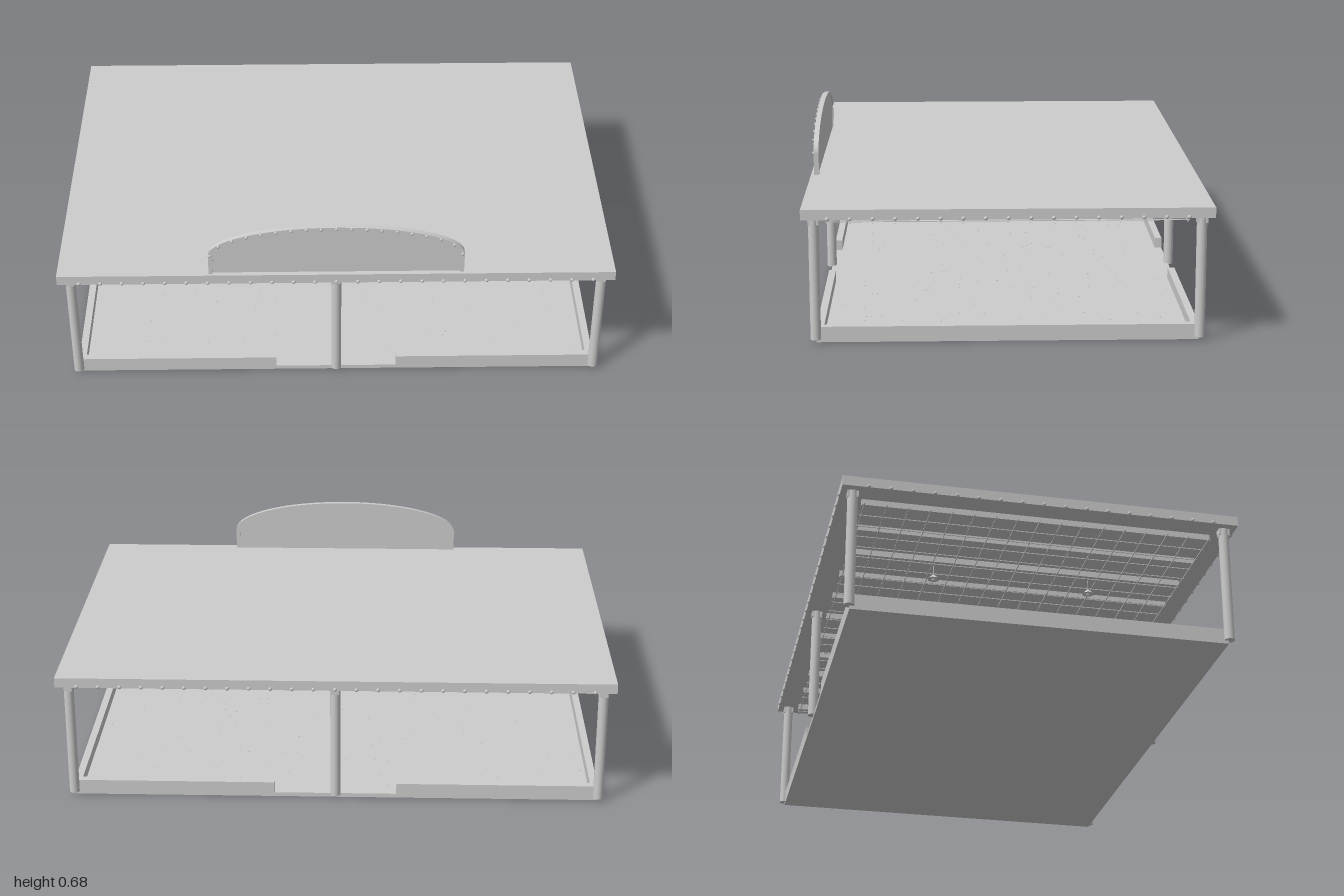
import * as THREE from 'three';
import { mergeGeometries } from 'three/addons/utils/BufferGeometryUtils.js';

export function createModel() {
  const model = new THREE.Group();
  model.name = 'ridePavilion';
  const grey = new THREE.MeshStandardMaterial({ color: 0xcccccc });
  grey.name = 'light grey';

  const add = (name, geo) => {
    const mesh = new THREE.Mesh(geo, grey);
    mesh.name = name;
    model.add(mesh);
    return mesh;
  };
  // Box given by its lower and upper corners
  const box = (x0, x1, y0, y1, z0, z1) =>
    new THREE.BoxGeometry(x1 - x0, y1 - y0, z1 - z0)
      .translate((x0 + x1) / 2, (y0 + y1) / 2, (z0 + z1) / 2);
  const bulb = (x, y, z, r = 0.007) => new THREE.SphereGeometry(r, 8, 6).translate(x, y, z);

  // Floor slab with scattered flecks
  add('floor', box(-0.945, 0.945, 0, 0.015, -0.655, 0.655));
  let seed = 7;
  const rand = () => (seed = (seed * 16807) % 2147483647) / 2147483647;
  const flecks = [];
  for (let i = 0; i < 180; i++) {
    flecks.push(new THREE.CylinderGeometry(0.003, 0.003, 0.001, 6)
      .translate((rand() * 2 - 1) * 0.9, 0.0155, (rand() * 2 - 1) * 0.61));
  }
  add('floorFlecks', mergeGeometries(flecks));

  // Low bumper walls in panels, open in the middle of front and back
  const walls = [];
  const xs = [0.22, 0.437, 0.727, 0.945];
  const zs = [-0.645, -0.44, -0.29, -0.075, 0.075, 0.29, 0.44, 0.645];
  for (const s of [-1, 1]) {
    for (const t of [-1, 1]) {
      for (let i = 0; i < 3; i++) {
        const a = s * xs[i], b = s * xs[i + 1];
        walls.push(box(Math.min(a, b), Math.max(a, b), 0.012, 0.055,
          t * 0.642 - 0.013, t * 0.642 + 0.013));
      }
    }
    for (let i = 0; i < zs.length - 1; i++) {
      walls.push(box(s * 0.932 - 0.013, s * 0.932 + 0.013, 0.012, 0.055, zs[i], zs[i + 1]));
    }
  }
  add('bumperWalls', mergeGeometries(walls));

  // Round posts with a square collar under the roof
  for (const z of [-0.657, 0.657]) {
    for (const x of [-0.947, 0, 0.947]) {
      add('post', new THREE.CylinderGeometry(0.018, 0.018, 0.428, 16).translate(x, 0.226, z));
      add('postCollar', box(x - 0.014, x + 0.014, 0.415, 0.442, z - 0.019, z + 0.019));
    }
  }

  // Flat roof
  add('roof', box(-0.99, 0.99, 0.44, 0.476, -0.698, 0.698));

  // Bulbs around the roof edge
  const roofBulbs = [];
  for (const s of [-1, 1]) {
    for (let i = -12; i <= 12; i++) roofBulbs.push(bulb(i * 0.076, 0.444, s * 0.698));
    for (let i = -8; i <= 8; i++) roofBulbs.push(bulb(s * 0.99, 0.444, i * 0.076));
  }
  add('roofBulbs', mergeGeometries(roofBulbs));

  // Ceiling beams and the wire grid hanging below them
  const beams = [], wires = [];
  for (let i = -5; i <= 5; i++) {
    beams.push(box(i * 0.18 - 0.006, i * 0.18 + 0.006, 0.418, 0.441, -0.62, 0.62));
  }
  for (let i = -12; i <= 12; i++) {
    wires.push(box(i * 0.076 - 0.0015, i * 0.076 + 0.0015, 0.414, 0.417, -0.62, 0.62));
  }
  for (let i = -8; i <= 8; i++) {
    wires.push(box(-0.93, 0.93, 0.412, 0.415, i * 0.0765 - 0.0015, i * 0.0765 + 0.0015));
  }
  add('ceilingBeams', mergeGeometries(beams));
  add('ceilingGrid', mergeGeometries(wires));

  // Hanging lamps
  for (const x of [-0.472, 0.472]) {
    for (const z of [-0.29, 0.29]) {
      const lamp = mergeGeometries([
        new THREE.CylinderGeometry(0.0015, 0.0015, 0.04, 6).translate(x, 0.42, z),
        new THREE.CylinderGeometry(0.004, 0.021, 0.018, 16).translate(x, 0.394, z),
        bulb(x, 0.384, z, 0.008),
      ]);
      add('hangingLamp', lamp);
    }
  }

  // Arched sign board: straight sides under a half ellipse
  const arch = (path, inset) => {
    const a = 0.452 - inset;
    path.moveTo(-a, 0.475);
    path.lineTo(a, 0.475);
    path.lineTo(a, 0.555);
    path.absellipse(0, 0.555, a, 0.12 - inset, 0, Math.PI, false);
    path.lineTo(-a, 0.475);
    return path;
  };
  const extrude = (shape, depth, z) => new THREE.ExtrudeGeometry(shape,
    { depth, bevelEnabled: false, curveSegments: 32 }).translate(0, 0, z);
  add('signBoard', extrude(arch(new THREE.Shape(), 0.003), 0.008, 0.672));

  // Raised rim: outer arch down to the base, back along the inner arch
  const rim = new THREE.Shape();
  rim.moveTo(0.452, 0.475);
  rim.lineTo(0.452, 0.555);
  rim.absellipse(0, 0.555, 0.452, 0.12, 0, Math.PI, false);
  rim.lineTo(-0.452, 0.475);
  rim.lineTo(-0.437, 0.475);
  rim.lineTo(-0.437, 0.555);
  rim.absellipse(0, 0.555, 0.437, 0.105, Math.PI, 0, true);
  rim.lineTo(0.437, 0.475);
  add('signRim', extrude(rim, 0.018, 0.669));

  // Bulbs along the rim
  const curve = new THREE.EllipseCurve(0, 0.555, 0.4445, 0.1125, 0, Math.PI);
  add('signBulbs', mergeGeometries(
    curve.getSpacedPoints(18).map((p) => bulb(p.x, p.y, 0.687, 0.006))));

  return model;
}
